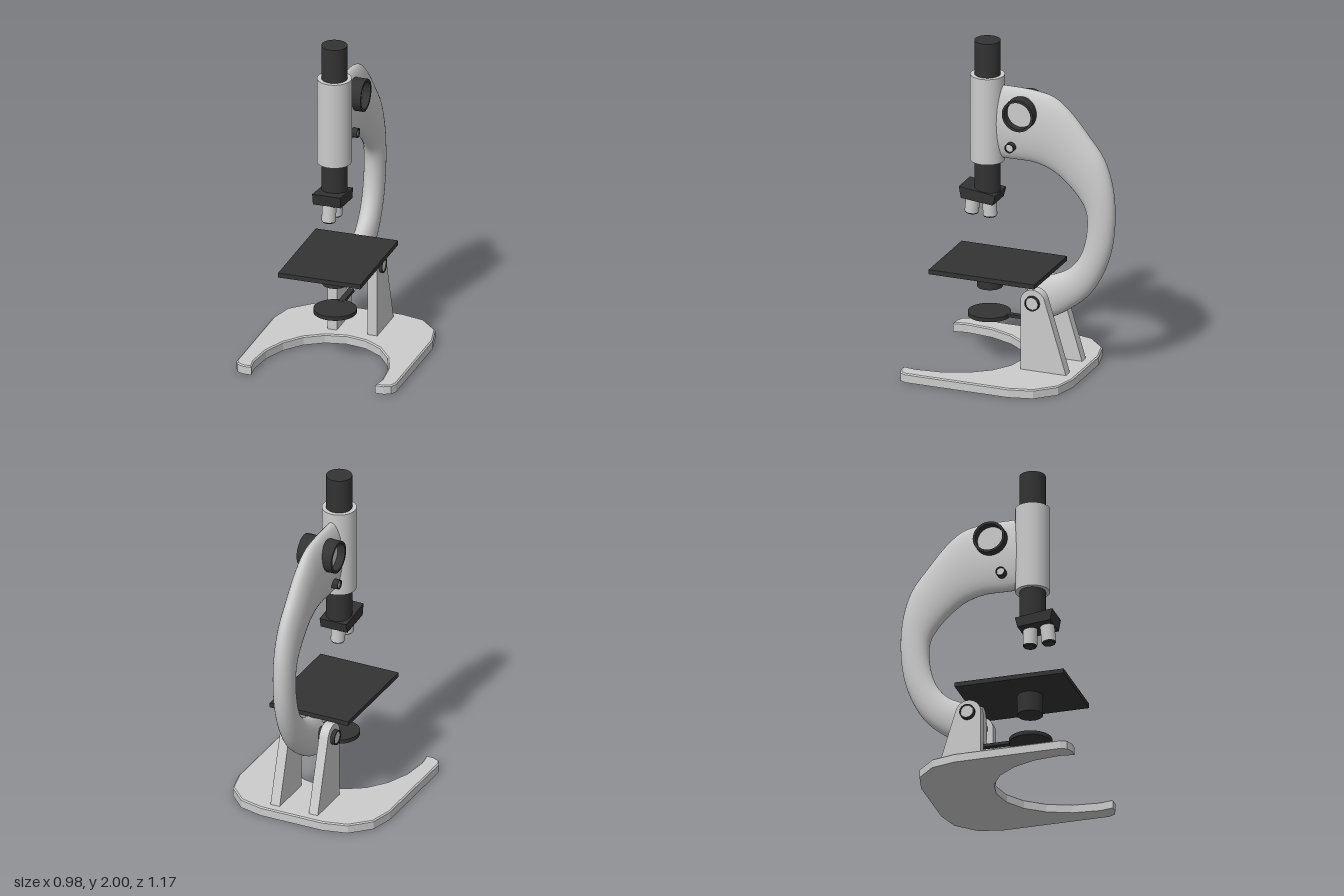
import * as THREE from 'three';
import { toCreasedNormals } from 'three/addons/utils/BufferGeometryUtils.js';

const grey = new THREE.MeshStandardMaterial({ color: 0xcccccc });
const dark = new THREE.MeshStandardMaterial({ color: 0x333333 });

function add(parent, name, geometry, material, x = 0, y = 0, z = 0) {
  const mesh = new THREE.Mesh(geometry, material);
  mesh.name = name;
  mesh.position.set(x, y, z);
  parent.add(mesh);
  return mesh;
}

const shapeOf = (pts) => new THREE.Shape(pts.map(([a, b]) => new THREE.Vector2(a, b)));

// Extrudes a (z, y) profile sideways, from x0 to x1
function sideExtrude(shape, x0, x1) {
  const geo = new THREE.ExtrudeGeometry(shape, { depth: x1 - x0, bevelEnabled: false, curveSegments: 16 });
  geo.rotateY(-Math.PI / 2);
  geo.translate(x1, 0, 0);
  return geo;
}

// Upright cylinder between two heights
function upright(parent, name, r, y0, y1, z, material) {
  return add(parent, name, new THREE.CylinderGeometry(r, r, y1 - y0, 40), material, 0, (y0 + y1) / 2, z);
}

// Hollow rim around a recessed grey face, pointing to side s (+1 or -1)
function knob(parent, name, s, rOut, rIn, x0, x1, xFace, y, z) {
  const group = new THREE.Group();
  group.name = name;
  const ring = new THREE.Shape().absarc(0, 0, rOut, 0, Math.PI * 2);
  ring.holes.push(new THREE.Path().absarc(0, 0, rIn, 0, Math.PI * 2, true));
  let geo = new THREE.ExtrudeGeometry(ring, { depth: x1 - x0, bevelEnabled: false, curveSegments: 36 });
  geo = toCreasedNormals(geo, 0.6);
  geo.translate(0, 0, x0);
  add(group, 'rim', geo, dark);
  const face = new THREE.CylinderGeometry(rIn, rIn, xFace - x0, 36);
  face.rotateX(Math.PI / 2);
  add(group, 'face', face, grey, 0, 0, (x0 + xFace) / 2);
  group.rotation.y = s * Math.PI / 2;
  group.position.set(0, y, z);
  parent.add(group);
}

// Curved arm: elliptical rings spanning an outer and an inner edge curve
function armGeometry() {
  const outer = [[.17, 1.735], [.05, 1.735], [-.08, 1.73], [-.2, 1.705], [-.3, 1.63], [-.42, 1.49], [-.515, 1.36],
    [-.567, 1.2], [-.583, 1.02], [-.565, .82], [-.51, .65], [-.42, .505], [-.28, .39], [-.17, .33], [-.08, .305]];
  const inner = [[.17, 1.285], [.05, 1.285], [-.06, 1.285], [-.14, 1.27], [-.21, 1.24], [-.29, 1.18], [-.36, 1.105],
    [-.4, 1.04], [-.413, .97], [-.4, .84], [-.36, .73], [-.29, .65], [-.2, .605], [-.14, .587], [-.08, .56]];
  const curve = (pts) => new THREE.CatmullRomCurve3(pts.map(([z, y]) => new THREE.Vector3(0, y, z)));
  const co = curve(outer), ci = curve(inner);
  const rows = 56, cols = 32, halfWidth = 0.062;
  const pos = [], idx = [];
  for (let i = 0; i <= rows; i++) {
    const a = co.getPoint(i / rows), b = ci.getPoint(i / rows);
    const c = a.clone().add(b).multiplyScalar(0.5), h = a.sub(b).multiplyScalar(0.5);
    for (let j = 0; j < cols; j++) {
      const t = j / cols * Math.PI * 2;
      pos.push(halfWidth * Math.sin(t), c.y + h.y * Math.cos(t), c.z + h.z * Math.cos(t));
    }
  }
  for (let i = 0; i < rows; i++) {
    for (let j = 0; j < cols; j++) {
      const k = (j + 1) % cols, p = i * cols + j, q = i * cols + k;
      idx.push(p, q, p + cols, q, q + cols, p + cols);
    }
  }
  // Flat end caps
  const last = rows * cols;
  for (let j = 1; j < cols - 1; j++) {
    idx.push(0, j + 1, j, last, last + j, last + j + 1);
  }
  const geo = new THREE.BufferGeometry();
  geo.setAttribute('position', new THREE.Float32BufferAttribute(pos, 3));
  geo.setIndex(idx);
  return toCreasedNormals(geo, 0.8);
}

// Horseshoe plate from a mirrored (x, z) half outline, bevelled on top and flat below
function baseGeometry() {
  const half = [[.2, -.4], [.345, -.365], [.455, -.255], [.49, -.11], [.49, .53], [.472, .568], [.43, .585],
    [.38, .585], [.393, .5], [.375, .34], [.32, .2], [.235, .09], [.125, .02]];
  const outline = [...half, [0, -.005], ...half.slice().reverse().map(([x, z]) => [-x, z])];
  const geo = new THREE.ExtrudeGeometry(shapeOf(outline.map(([x, z]) => [x, -z])), {
    depth: 0.048, bevelThickness: 0.007, bevelSize: 0.008, bevelOffset: -0.008, bevelSegments: 1 });
  geo.rotateX(-Math.PI / 2);
  const p = geo.attributes.position;
  for (let i = 0; i < p.count; i++) p.setY(i, Math.max(0, p.getY(i)));
  geo.computeVertexNormals();
  return geo;
}

export function createModel() {
  const model = new THREE.Group();
  model.name = 'microscope';

  add(model, 'base', baseGeometry(), grey);

  // Two uprights with rounded tops
  const upr = new THREE.Shape();
  upr.moveTo(-.058, .05);
  upr.lineTo(-.058, .478);
  upr.absarc(-.135, .478, .077, 0, Math.PI - 0.25, false);
  upr.lineTo(-.345, .05);
  add(model, 'rightUpright', toCreasedNormals(sideExtrude(upr, -.139, -.081), 0.4), grey);
  add(model, 'leftUpright', toCreasedNormals(sideExtrude(upr, .107, .167), 0.4), grey);

  // Hinge axle with capped ends
  const axle = new THREE.CylinderGeometry(.045, .045, .3, 32);
  axle.rotateZ(Math.PI / 2);
  add(model, 'axle', axle, dark, .012, .475, -.135);
  knob(model, 'leftAxleEnd', 1, .045, .037, .16, .185, .18, .475, -.135);
  knob(model, 'rightAxleEnd', -1, .045, .037, .135, .165, .16, .475, -.135);

  add(model, 'arm', armGeometry(), grey);

  // Coarse and fine focus knobs
  for (const s of [1, -1]) {
    const side = s > 0 ? 'left' : 'right';
    knob(model, side + 'CoarseKnob', s, .097, .082, .03, .112, .065, 1.597, -.017);
    knob(model, side + 'FineKnob', s, .029, .023, .03, .088, .08, 1.38, .045);
  }

  // Barrel and eyepiece tube
  upright(model, 'barrel', .101, 1.26, 1.79, .215, grey);
  upright(model, 'tube', .076, 1.05, 2, .215, dark);

  // Tilted nosepiece block
  const nose = shapeOf([[.36, 1.1], [.133, 1.07], [.148, 1.01], [.347, 1.03]]);
  add(model, 'nosepiece', sideExtrude(nose, -.086, .086), dark);

  // Objectives with dark tips
  [[.309, .973, -.1], [.2, .967, .02]].forEach(([z, y, tilt], i) => {
    const lens = new THREE.Group();
    lens.name = 'objective' + (i + 1);
    add(lens, 'body', new THREE.CylinderGeometry(.042, .042, .115, 28), grey, 0, .01, 0);
    add(lens, 'tip', new THREE.CylinderGeometry(.042, .036, .009, 28), dark, 0, -.052, 0);
    lens.position.set(0, y, z);
    lens.rotation.x = tilt;
    model.add(lens);
  });

  // Stage with condenser below
  add(model, 'stage', new THREE.BoxGeometry(.506, .028, .66), dark, 0, .61, .15);
  upright(model, 'condenser', .075, .475, .605, .2, dark);

  // Mirror disc on its stem
  upright(model, 'mirror', .126, .296, .32, .203, dark);
  add(model, 'mirrorStem', new THREE.BoxGeometry(.035, .018, .19), dark, 0, .312, .005);

  return model;
}
